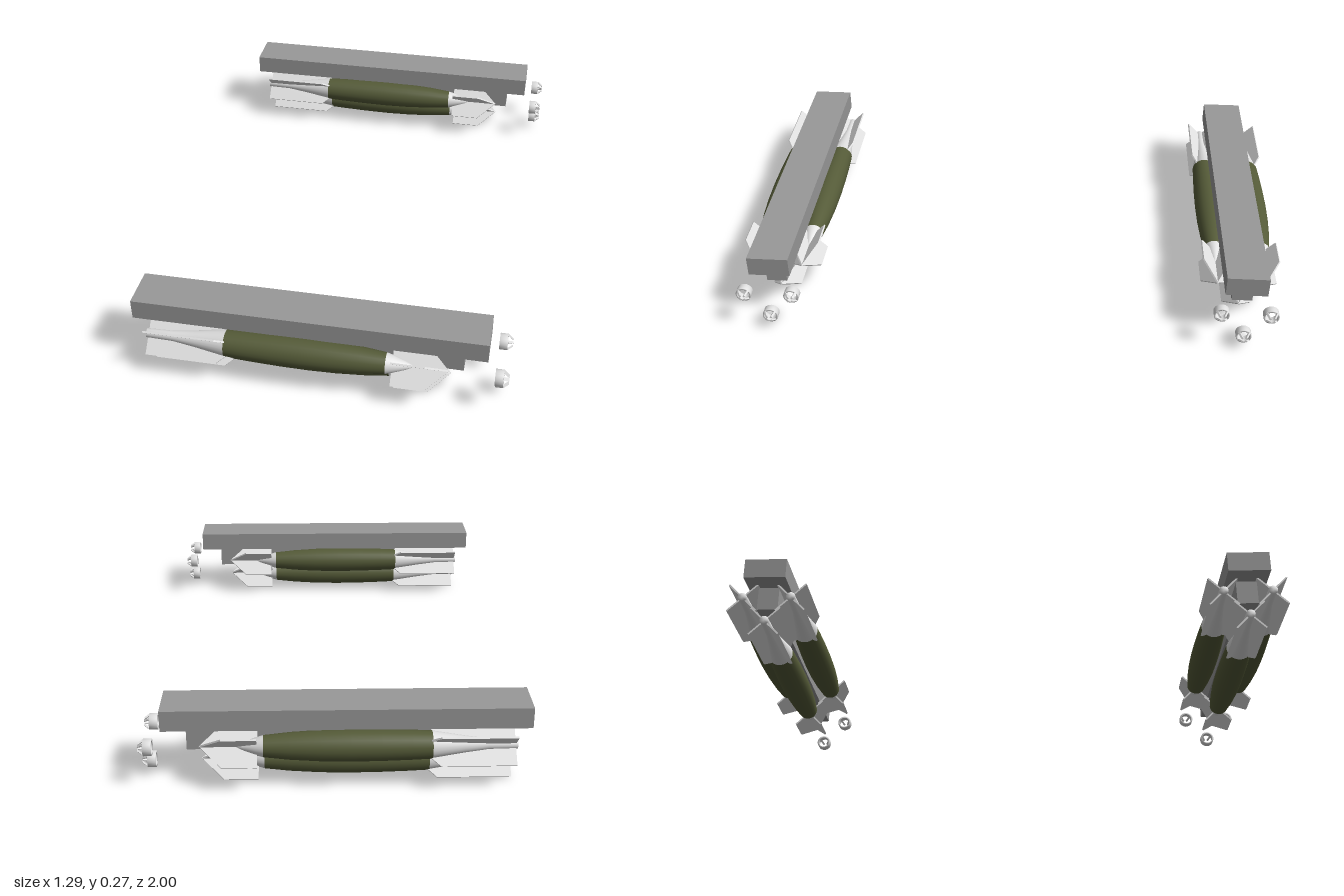
import * as THREE from 'three';

const white = new THREE.MeshStandardMaterial({ color: 0xe0e0e0 });
white.name = 'finWhite';
white.side = THREE.DoubleSide;
const olive = new THREE.MeshStandardMaterial({ color: 0x555b38 });
olive.name = 'bodyOlive';
const grey = new THREE.MeshStandardMaterial({ color: 0x999999 });
grey.name = 'rackGrey';

function part(name, geometry, material) {
  const mesh = new THREE.Mesh(geometry, material);
  mesh.name = name;
  return mesh;
}

// Turned solid along x from [x, radius] pairs
function turned(profile) {
  const pts = profile.map(([x, r]) => new THREE.Vector2(r, x));
  return new THREE.LatheGeometry(pts, 24).rotateZ(-Math.PI / 2);
}

// Flat plate from an [x, radius] outline, centred on its thickness
function plate(outline, thickness) {
  const shape = new THREE.Shape(outline.map(([x, r]) => new THREE.Vector2(x, r)));
  return new THREE.ExtrudeGeometry(shape, { depth: thickness, bevelEnabled: false })
    .translate(0, 0, -thickness / 2);
}

// Four copies around the x axis in an X arrangement
function addCross(group, name, geometry, material) {
  for (let i = 0; i < 4; i++) {
    const mesh = part(name, geometry, material);
    mesh.rotation.x = Math.PI / 4 + i * Math.PI / 2;
    group.add(mesh);
  }
}

const bodyGeo = turned([[-0.315, 0.046], [-0.25, 0.049], [-0.15, 0.052], [-0.05, 0.053],
  [0.05, 0.051], [0.15, 0.045], [0.235, 0.036]]);
const noseGeo = turned([[0.235, 0.036], [0.26, 0.029], [0.3, 0.015], [0.332, 0.0005]]);
const tailGeo = turned([[-0.594, 0.0005], [-0.594, 0.016], [-0.5, 0.018], [-0.42, 0.029], [-0.315, 0.046]]);
const frontFinGeo = plate([[0.255, 0], [0.445, 0], [0.37, 0.074], [0.255, 0.074]], 0.006);
const rearFinGeo = plate([[-0.588, 0], [-0.31, 0], [-0.31, 0.046], [-0.34, 0.074], [-0.588, 0.074]], 0.006);

// Nose ring: hollow band with four inward claws
const ringGeo = turned([[0.597, 0.022], [0.597, 0.028], [0.625, 0.028], [0.625, 0.022], [0.597, 0.022]]);
const clawGeo = plate([[0.622, 0.022], [0.625, 0.028], [0.643, 0.014], [0.643, 0.007]], 0.007);

function bomb() {
  const g = new THREE.Group();
  g.name = 'bomb';
  g.add(part('body', bodyGeo, olive), part('noseCone', noseGeo, white), part('tailCone', tailGeo, white));
  addCross(g, 'frontFin', frontFinGeo, white);
  addCross(g, 'rearFin', rearFinGeo, white);
  const ring = new THREE.Group();
  ring.name = 'noseRing';
  ring.add(part('ringBand', ringGeo, white));
  addCross(ring, 'ringClaw', clawGeo, white);
  g.add(ring);
  return g;
}

function rack() {
  const g = new THREE.Group();
  g.name = 'rack';
  const rail = part('rail', new THREE.BoxGeometry(1.215, 0.073, 0.15), grey);
  rail.position.set(-0.0375, 0.2385, 0);
  const pylon = part('pylon', new THREE.BoxGeometry(1.055, 0.09, 0.075), grey);
  pylon.position.set(-0.0375, 0.159, 0);
  g.add(rail, pylon);
  // Two side bombs and one beneath
  for (const [y, z] of [[0.152, 0.087], [0.152, -0.087], [0.058, 0]]) {
    const b = bomb();
    b.position.set(0, y, z);
    g.add(b);
  }
  return g;
}

export function createModel() {
  const model = new THREE.Group();
  model.name = 'bombRacks';
  for (const side of [1, -1]) {
    const r = rack();
    r.position.z = side * 0.857;
    model.add(r);
  }
  return model;
}
